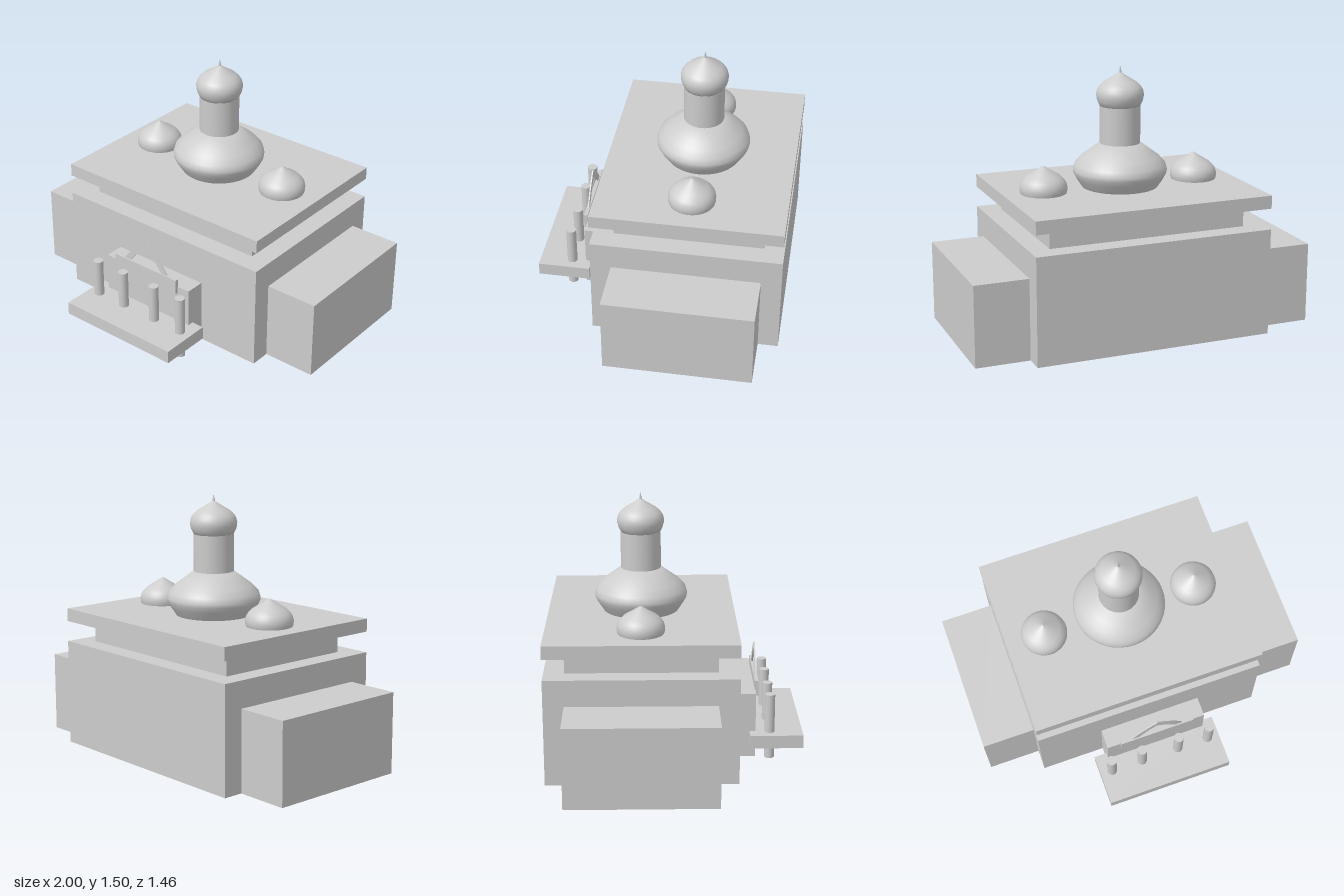
import * as THREE from 'three';

export function createModel() {
  const model = new THREE.Group();
  model.name = 'domedHall';
  const stone = new THREE.MeshStandardMaterial({ color: 0xcccccc, side: THREE.DoubleSide });
  stone.name = 'grey stone';
  const domeZ = -0.195;

  function add(name, geometry, x = 0, y = 0, z = 0) {
    const mesh = new THREE.Mesh(geometry, stone);
    mesh.name = name;
    mesh.position.set(x, y, z);
    model.add(mesh);
    return mesh;
  }
  // Box given by its limits on each axis
  function block(name, x0, x1, y0, y1, z0, z1) {
    return add(name, new THREE.BoxGeometry(x1 - x0, y1 - y0, z1 - z0),
      (x0 + x1) / 2, (y0 + y1) / 2, (z0 + z1) / 2);
  }
  const lathe = (points) =>
    new THREE.LatheGeometry(points.map(([r, y]) => new THREE.Vector2(r, y)), 40);

  // Main building, upper tier and floating roof slab
  block('mainHall', -0.69, 0.69, 0, 0.615, -0.73, 0.345);
  block('upperTier', -0.575, 0.575, 0.615, 0.715, -0.615, 0.23);
  block('roofSlab', -0.69, 0.69, 0.735, 0.81, -0.73, 0.345);

  // Side wings
  block('leftWing', 0.69, 1, 0, 0.463, -0.615, 0.227);
  block('rightWing', -1, -0.69, 0, 0.463, -0.615, 0.227);

  // Entrance porch, platform and columns
  block('porch', -0.307, 0.307, 0, 0.385, 0.345, 0.46);
  block('platform', -0.383, 0.383, 0.08, 0.157, 0.425, 0.73);
  for (const x of [-0.31, -0.116, 0.116, 0.31]) {
    add('column', new THREE.CylinderGeometry(0.029, 0.029, 0.385, 24), x, 0.1925, 0.54);
  }
  block('porchPanel', -0.228, 0.228, 0.344, 0.434, 0.457, 0.479);

  // Pointed arch standing on the panel
  const arch = new THREE.Shape();
  arch.moveTo(-0.16, 0.43);
  arch.quadraticCurveTo(-0.1, 0.525, 0, 0.597);
  arch.quadraticCurveTo(0.1, 0.525, 0.16, 0.43);
  arch.lineTo(0.118, 0.43);
  arch.quadraticCurveTo(0.07, 0.5, 0, 0.55);
  arch.quadraticCurveTo(-0.07, 0.5, -0.118, 0.43);
  arch.closePath();
  add('pointedArch', new THREE.ExtrudeGeometry(arch,
    { depth: 0.008, bevelEnabled: false, curveSegments: 8 }), 0, 0, 0.463);

  // Central dome and drum
  add('centralDome', lathe([[0.19, 0.775], [0.217, 0.81], [0.25, 0.86], [0.265, 0.89], [0.267, 0.91],
    [0.257, 0.942], [0.222, 0.98], [0.181, 1.01], [0.114, 1.06], [0, 1.06]]), 0, 0, domeZ);
  add('drum', new THREE.CylinderGeometry(0.115, 0.115, 0.215, 40), 0, 1.1645, domeZ);

  // Onion bulbs: one on the drum, two half sunk into the roof slab
  const bulb = lathe([[0, 0], [0.112, 0], [0.127, 0.03], [0.133, 0.053], [0.134, 0.072], [0.129, 0.094],
    [0.117, 0.113], [0.094, 0.136], [0.042, 0.168], [0.005, 0.192], [0, 0.193]]);
  add('topBulb', bulb, 0, 1.268, domeZ);
  for (const side of [-1, 1]) {
    add(side > 0 ? 'leftSmallDome' : 'rightSmallDome', bulb, side * 0.46, 0.77, domeZ);
  }

  // Finial spike
  add('finial', new THREE.ConeGeometry(0.01, 0.045, 16), 0, 1.475, domeZ);

  return model;
}
